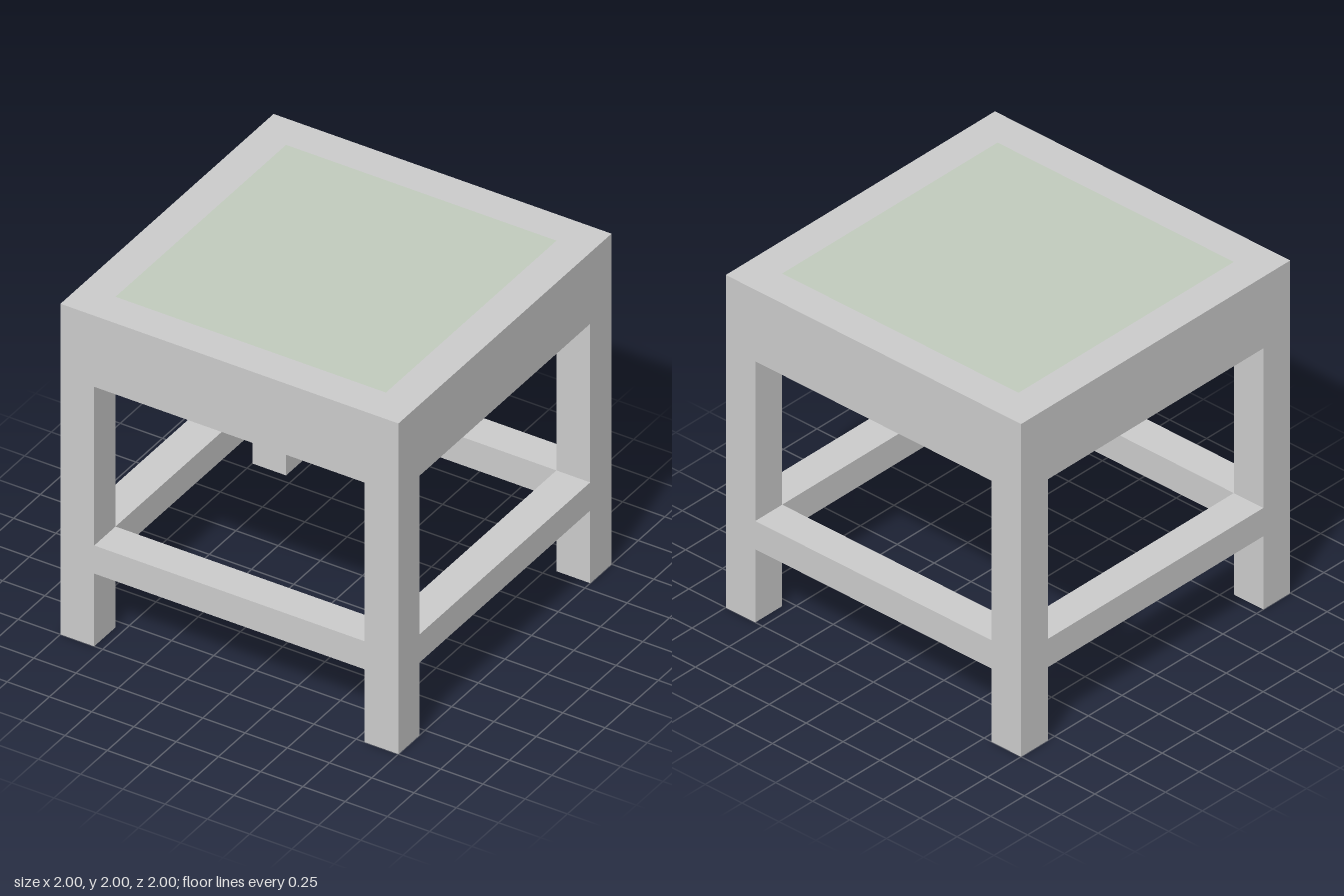
import * as THREE from 'three';

const LEG = 0.2;              // square section of the legs, also rail depth
const OFFSET = 1 - LEG / 2;   // centre line of the frame
const SPAN = 2 - 2 * LEG;     // clear distance between legs

export function createModel() {
  const model = new THREE.Group();
  model.name = 'stool';
  const grey = new THREE.MeshStandardMaterial({ color: 0xcccccc });
  const green = new THREE.MeshStandardMaterial({ color: 0xc2ccbe });

  // Box spanning bottom to top, centred on x, z
  function box(name, parent, width, depth, bottom, top, x, z, material = grey) {
    const mesh = new THREE.Mesh(new THREE.BoxGeometry(width, top - bottom, depth), material);
    mesh.position.set(x, (bottom + top) / 2, z);
    mesh.name = name;
    parent.add(mesh);
  }

  // Four corner legs running up to the seat
  for (const [end, z] of [['front', OFFSET], ['back', -OFFSET]]) {
    box(end + 'LeftLeg', model, LEG, LEG, 0, 2, OFFSET, z);
    box(end + 'RightLeg', model, LEG, LEG, 0, 2, -OFFSET, z);
  }

  // One deep apron rail and one low stretcher on each side
  ['front', 'left', 'back', 'right'].forEach((name, i) => {
    const side = new THREE.Group();
    side.name = name + 'Rails';
    side.rotation.y = i * Math.PI / 2;
    box(name + 'Apron', side, SPAN, LEG, 1.57, 2, 0, OFFSET);
    box(name + 'Stretcher', side, SPAN, LEG, 0.44, 0.61, 0, OFFSET);
    model.add(side);
  });

  // Thin seat panel set flush in the frame
  box('seatPanel', model, SPAN, SPAN, 1.99, 2, 0, 0, green);

  return model;
}
